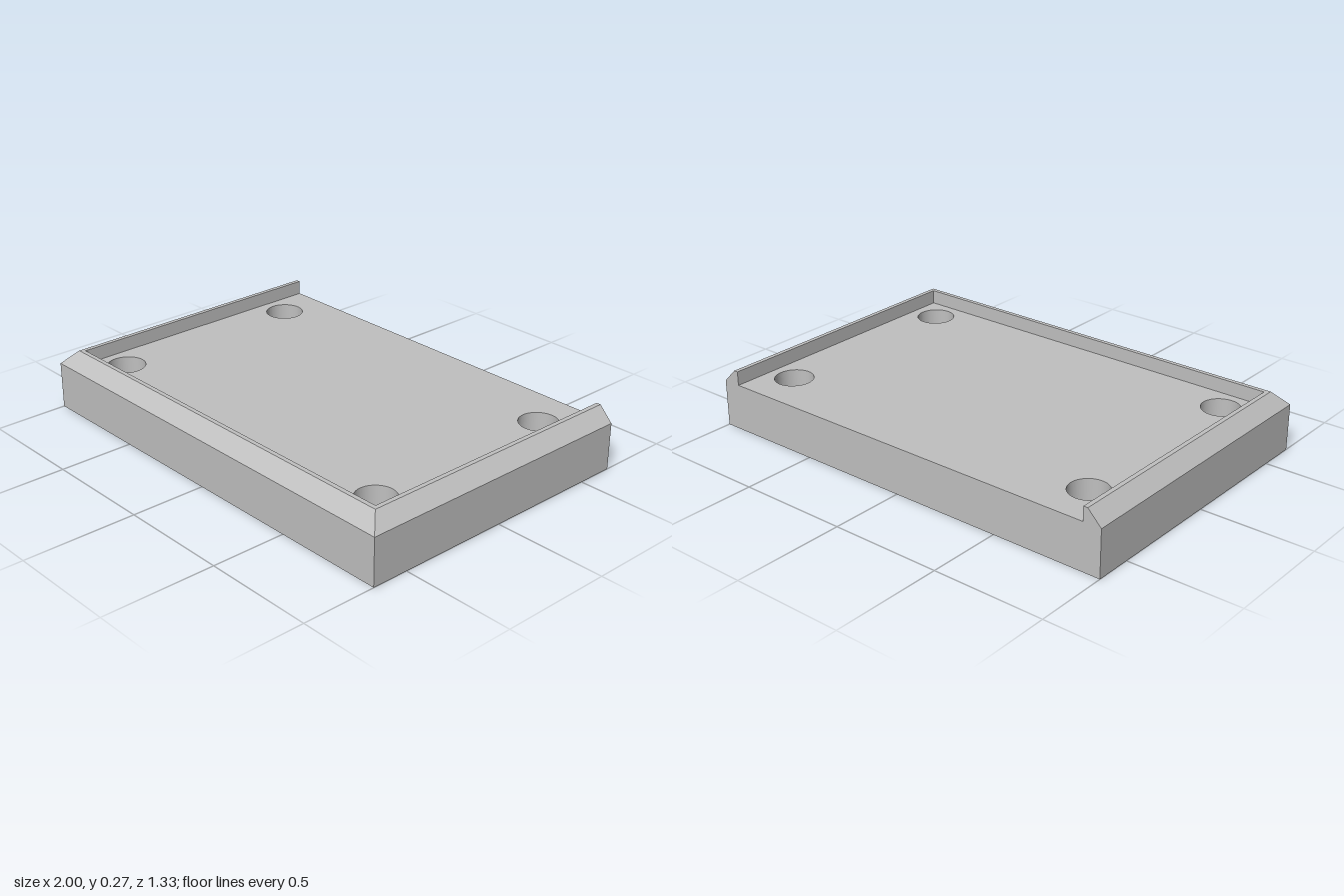
import * as THREE from 'three';

const HALF_X = 1, HALF_Z = 0.666;
const FLOOR = 0.21, TOP = 0.273, STEP = 0.1;
const HOLE_X = 0.792, HOLE_Z = 0.459;

// Rectangular slab pierced by four round holes
function slab(bottom, top, holeRadius) {
  const shape = new THREE.Shape([
    new THREE.Vector2(-HALF_X, -HALF_Z), new THREE.Vector2(HALF_X, -HALF_Z),
    new THREE.Vector2(HALF_X, HALF_Z), new THREE.Vector2(-HALF_X, HALF_Z),
  ]);
  for (const sx of [-1, 1]) for (const sz of [-1, 1]) {
    shape.holes.push(new THREE.Path().absarc(sx * HOLE_X, sz * HOLE_Z, holeRadius, 0, Math.PI * 2, true));
  }
  const geometry = new THREE.ExtrudeGeometry(shape, { depth: top - bottom, bevelEnabled: false, curveSegments: 48 });
  return geometry.rotateX(-Math.PI / 2).translate(0, bottom, 0);
}

// Bevelled lip swept round three sides with mitred front corners, open at the back
function lip() {
  const profile = [[0, FLOOR], [0.062, TOP], [0.082, TOP], [0.082, FLOOR]]; // inset, height
  const stations = [[1, false], [1, true], [-1, true], [-1, false]].map(([side, front]) =>
    profile.map(([d, y]) => [side * (HALF_X - d), y, front ? HALF_Z - d : -HALF_Z]));
  const positions = [];
  const quad = (a, b, c, d) => positions.push(...a, ...b, ...c, ...a, ...c, ...d);
  for (let i = 0; i < 3; i++) {
    const s = stations[i], t = stations[i + 1];
    for (let j = 0; j < 3; j++) quad(s[j], s[j + 1], t[j + 1], t[j]);
  }
  // Back end caps
  const [p0, p1, p2, p3] = stations[0];
  quad(p0, p3, p2, p1);
  quad(...stations[3]);
  const geometry = new THREE.BufferGeometry();
  geometry.setAttribute('position', new THREE.Float32BufferAttribute(positions, 3));
  geometry.computeVertexNormals();
  return geometry;
}

export function createModel() {
  const grey = new THREE.MeshStandardMaterial({ color: 0xc0c0c0 });
  grey.name = 'grey';
  const model = new THREE.Group();
  model.name = 'mountingTray';
  const add = (name, geometry) => {
    const mesh = new THREE.Mesh(geometry, grey);
    mesh.name = name;
    model.add(mesh);
  };
  add('lowerPlate', slab(0, STEP, 0.053)); // narrow screw holes
  add('upperPlate', slab(STEP, FLOOR, 0.085)); // wide counterbores
  add('bevelledLip', lip());
  return model;
}
